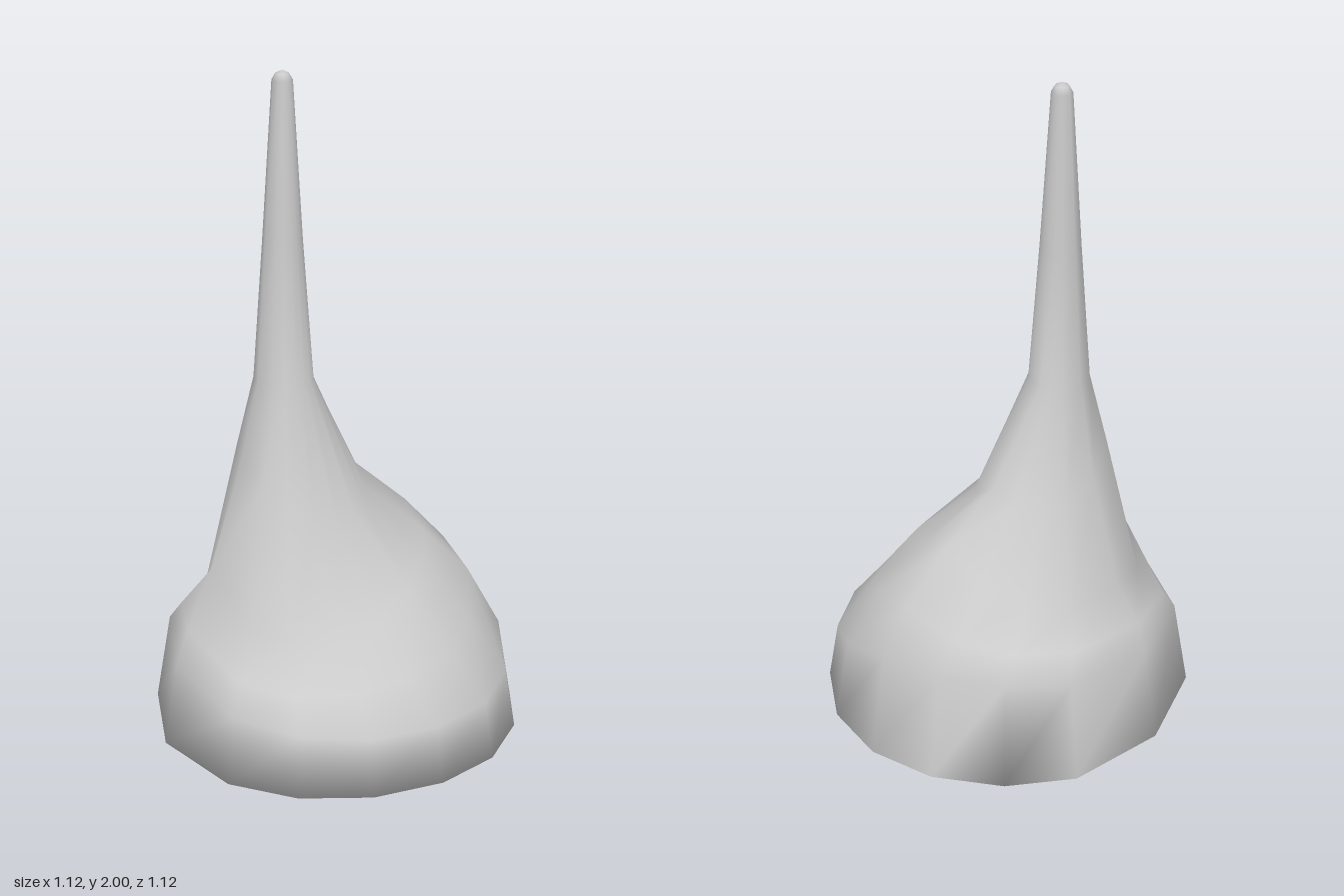
import * as THREE from 'three';

// Base outline (x, z), running clockwise when seen from above
const RIM = [
  [-0.04, -0.56], [0.18, -0.535], [0.37, -0.43], [0.505, -0.255], [0.56, -0.04], [0.535, 0.18], [0.425, 0.365],
  [0.25, 0.5], [0.04, 0.56], [-0.18, 0.53], [-0.435, 0.335], [-0.56, 0.035], [-0.475, -0.275], [-0.25, -0.505],
];
const AXIS = [-0.15, 0.01]; // foot of the spire, off centre

// Heights around the outline: top of the steep wall, then three rings closing in on the spire
const WALL = [0.32, 0.32, 0.32, 0.25, 0.18, 0.17, 0.17, 0.17, 0.18, 0.2, 0.25, 0.27, 0.28, 0.3];
const SLOPES = [
  { t: 0.8, y: [0.39, 0.41, 0.47, 0.43, 0.35, 0.31, 0.29, 0.27, 0.26, 0.28, 0.35, 0.32, 0.37, 0.38] },
  { t: 0.6, y: [0.5, 0.56, 0.62, 0.57, 0.54, 0.49, 0.43, 0.4, 0.38, 0.4, 0.53, 0.41, 0.46, 0.45] },
  { t: 0.35, y: [0.7, 0.74, 0.77, 0.715, 0.69, 0.68, 0.66, 0.68, 0.75, 0.81, 0.85, 0.86, 0.78, 0.74] },
];
// Round rings of the spire: height, radius, centre z
const SPIRE = [[1.08, 0.09, 0.012], [1.5, 0.06, 0.01], [1.97, 0.031, 0.0], [1.99, 0.02, 0.0]];

export function createModel() {
  const n = RIM.length;
  const rings = [];
  rings.push(RIM.map(([x, z]) => [x, 0, z]));

  // Wall leans in more where it is taller
  rings.push(RIM.map(([x, z], i) => {
    const s = 1 - 0.3 * WALL[i];
    return [x * s, WALL[i], z * s];
  }));

  // Lopsided slopes
  for (const { t, y } of SLOPES) {
    rings.push(RIM.map(([x, z], i) => [
      THREE.MathUtils.lerp(AXIS[0], x, t), y[i], THREE.MathUtils.lerp(AXIS[1], z, t),
    ]));
  }

  // Spire
  for (const [y, r, cz] of SPIRE) {
    rings.push(RIM.map(([x, z]) => {
      const a = Math.atan2(z - AXIS[1], x - AXIS[0]);
      return [AXIS[0] + r * Math.cos(a), y, cz + r * Math.sin(a)];
    }));
  }

  // Skin the rings, then close the tip and the underside
  const positions = rings.flat(2);
  const index = [];
  for (let k = 0; k < rings.length - 1; k++) {
    for (let i = 0; i < n; i++) {
      const a = k * n + i, b = k * n + (i + 1) % n;
      index.push(b, a, a + n, b, a + n, b + n);
    }
  }
  const last = (rings.length - 1) * n;
  const apex = rings.length * n;
  positions.push(AXIS[0], 2, 0);
  for (let i = 0; i < n; i++) index.push(last + (i + 1) % n, last + i, apex);
  for (let i = 1; i < n - 1; i++) index.push(0, i, i + 1);

  const geometry = new THREE.BufferGeometry();
  geometry.setAttribute('position', new THREE.Float32BufferAttribute(positions, 3));
  geometry.setIndex(index);
  geometry.computeVertexNormals();

  const mound = new THREE.Mesh(geometry, new THREE.MeshStandardMaterial({ color: 0xcccccc }));
  mound.name = 'spiredMound';
  const group = new THREE.Group();
  group.name = 'spiredRock';
  group.add(mound);
  return group;
}
